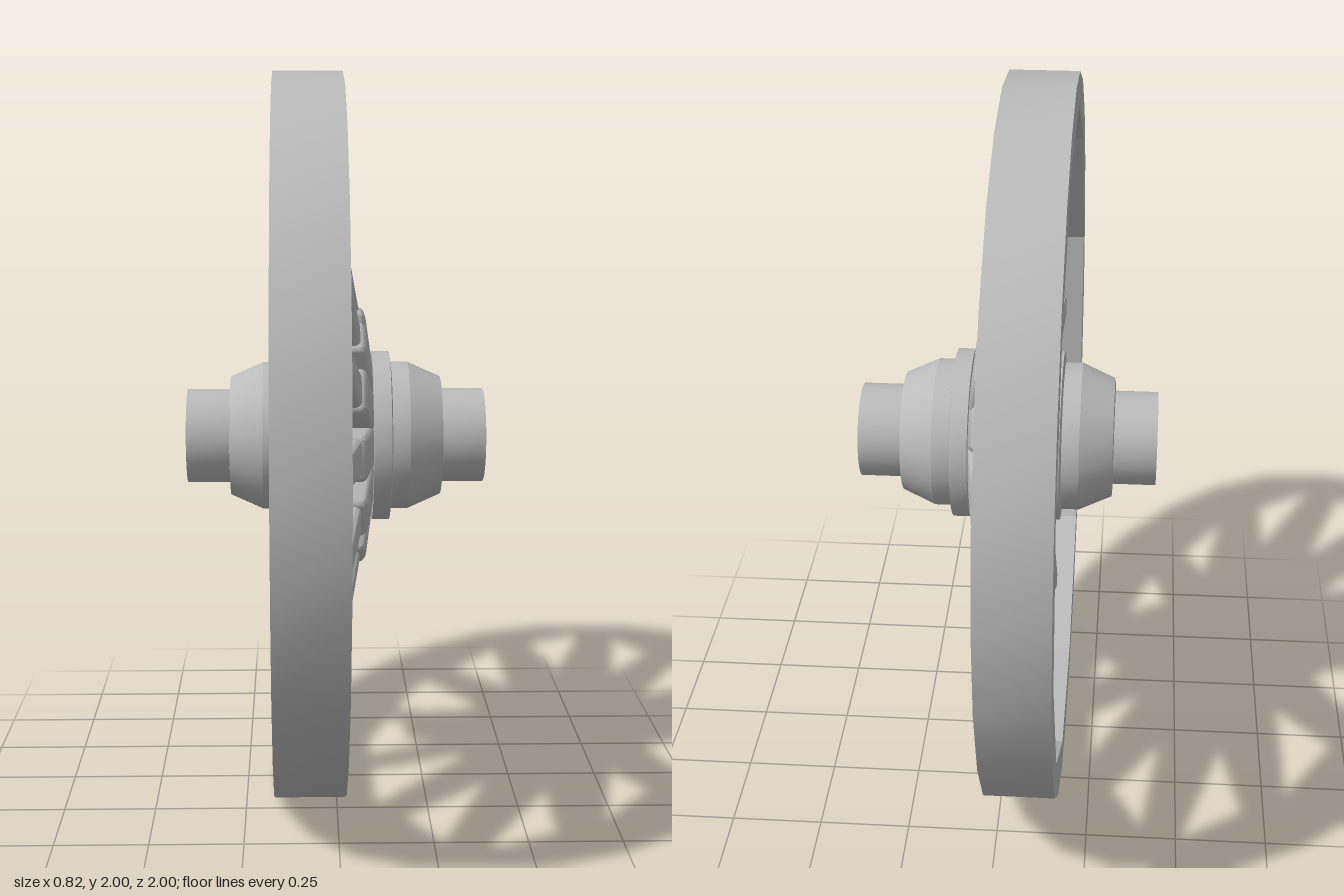
import * as THREE from 'three';
import { toCreasedNormals } from 'three/addons/utils/BufferGeometryUtils.js';
import { RoundedBoxGeometry } from 'three/addons/geometries/RoundedBoxGeometry.js';

const RIM_CENTRE = -0.075; // the rim sits behind the hub centre, so the spokes are dished

const polygon = (radius, sides, phase) =>
  Array.from({ length: sides }, (_, i) => {
    const a = phase + (i / sides) * Math.PI * 2;
    return new THREE.Vector2(Math.cos(a) * radius, Math.sin(a) * radius);
  });

// Round outside, twelve flat faces inside
function rimGeometry() {
  const shape = new THREE.Shape(polygon(1, 24, 0));
  shape.holes.push(new THREE.Path(polygon(0.911, 12, Math.PI / 12)));
  const g = new THREE.ExtrudeGeometry(shape, { depth: 0.19, bevelEnabled: false });
  g.translate(0, 0, RIM_CENTRE - 0.095);
  g.rotateY(Math.PI / 2);
  return toCreasedNormals(g, 0.45);
}

// Stepped hub, the same at both ends, with a shallow bore
function hubGeometry() {
  const half = [
    [0.2, 0], [0.2, 0.1], [0.235, 0.1], [0.235, 0.148], [0.205, 0.152], [0.205, 0.2],
    [0.165, 0.29], [0.13, 0.292], [0.13, 0.41], [0.097, 0.41], [0.097, 0.36], [0, 0.36],
  ];
  const back = half.slice(1).reverse().map(([r, y]) => [r, -y]);
  const points = [...back, ...half].map(([r, y]) => new THREE.Vector2(r, y));
  const g = new THREE.LatheGeometry(points, 32).toNonIndexed();
  g.rotateZ(-Math.PI / 2);
  return toCreasedNormals(g, 0.35);
}

// Rounded bar from radius r0 to r1, tapering in depth and width along the dished line
function barGeometry(r0, r1, depth, width, round) {
  const g = new RoundedBoxGeometry(depth[0], r1 - r0, width[0], 3, round);
  const p = g.attributes.position;
  for (let i = 0; i < p.count; i++) {
    const r = p.getY(i) + (r0 + r1) / 2;
    const t = (r - r0) / (r1 - r0);
    const centre = RIM_CENTRE * (r - 0.15) / 0.73;
    const x = p.getX(i) * THREE.MathUtils.lerp(1, depth[1] / depth[0], t);
    const z = p.getZ(i) * THREE.MathUtils.lerp(1, width[1] / width[0], t);
    p.setXYZ(i, x + centre, r, z);
  }
  return toCreasedNormals(g, 0.7);
}

export function createModel() {
  const grey = new THREE.MeshStandardMaterial({ color: 0xbbbbbb });
  grey.name = 'plain grey';

  const wheel = new THREE.Group();
  wheel.name = 'wagonWheel';
  const add = (parent, name, geometry) => {
    const mesh = new THREE.Mesh(geometry, grey);
    mesh.name = name;
    parent.add(mesh);
  };

  add(wheel, 'rim', rimGeometry());
  add(wheel, 'hub', hubGeometry());

  // Twelve spokes, each seated in a socket at the hub
  const spoke = barGeometry(0.15, 0.9, [0.2, 0.086], [0.115, 0.066], 0.022);
  const socket = barGeometry(0.16, 0.355, [0.215, 0.2], [0.118, 0.13], 0.022);
  for (let i = 0; i < 12; i++) {
    const arm = new THREE.Group();
    arm.name = `spokeAssembly${i + 1}`;
    add(arm, 'spoke', spoke);
    add(arm, 'socket', socket);
    arm.rotation.x = (i / 12) * Math.PI * 2;
    wheel.add(arm);
  }

  wheel.position.y = 1;
  const model = new THREE.Group();
  model.name = 'model';
  model.add(wheel);
  return model;
}
